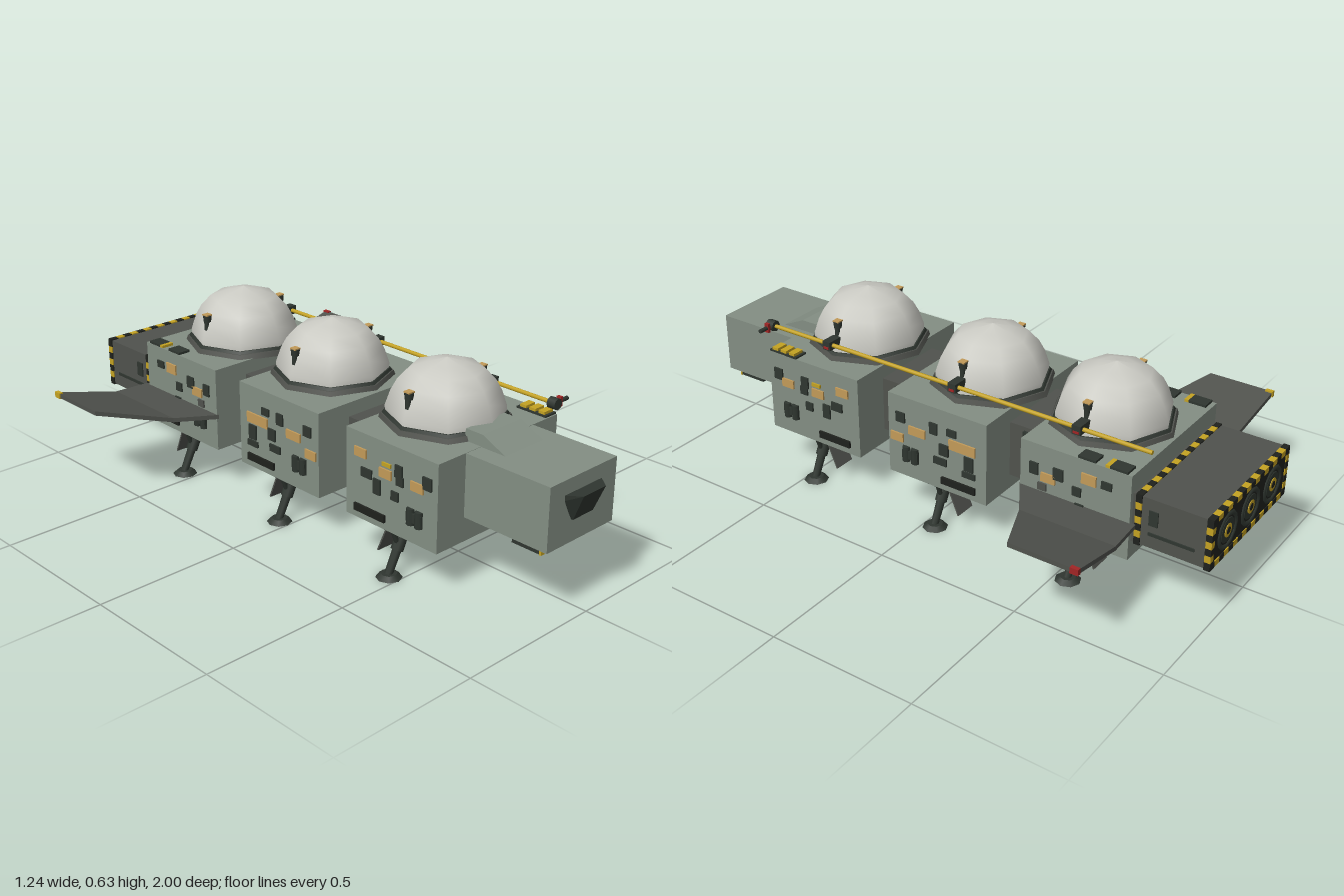
import * as THREE from 'three';
import { ConvexGeometry } from 'three/addons/geometries/ConvexGeometry.js';

const mat = (name, color) => Object.assign(new THREE.MeshStandardMaterial({ color }), { name });
const M = {
  hull: mat('hull grey green', 0x838e83),
  grey: mat('dark grey', 0x50524d),
  dark: mat('dark green', 0x2f3630),
  black: mat('near black', 0x1f211d),
  dome: mat('dome white', 0xcacac3),
  yellow: mat('hazard yellow', 0xc4a222),
  tan: mat('panel tan', 0xc29a58),
  red: mat('marker red', 0xa02525),
};

export function createModel() {
  const root = new THREE.Group();
  root.name = 'spacecraft';

  const add = (parent, name, geo, material, x = 0, y = 0, z = 0) => {
    const m = new THREE.Mesh(geo, material);
    m.name = name;
    m.position.set(x, y, z);
    parent.add(m);
    return m;
  };
  // box from min and max corners
  const box = (p, name, material, x0, x1, y0, y1, z0, z1) =>
    add(p, name, new THREE.BoxGeometry(x1 - x0, y1 - y0, z1 - z0), material,
      (x0 + x1) / 2, (y0 + y1) / 2, (z0 + z1) / 2);
  const hull = (p, name, material, pts) =>
    add(p, name, new ConvexGeometry(pts.map(a => new THREE.Vector3(...a))), material);
  // cylinder between two points
  const rod = (p, name, material, a, b, r, r2 = r, sides = 8) => {
    const va = new THREE.Vector3(...a), vb = new THREE.Vector3(...b);
    const d = vb.clone().sub(va);
    const m = add(p, name, new THREE.CylinderGeometry(r2, r, d.length(), sides), material);
    m.position.copy(va).add(vb).multiplyScalar(0.5);
    m.quaternion.setFromUnitVectors(new THREE.Vector3(0, 1, 0), d.normalize());
    return m;
  };
  const group = (name, z = 0) => {
    const g = new THREE.Group();
    g.name = name;
    g.position.z = z;
    root.add(g);
    return g;
  };

  // side panels of each module: [z, y, width, height, material]
  const panels = [
    [[0.11, 0.335, 0.05, 0.03, 'tan'], [-0.02, 0.335, 0.05, 0.03, 'tan'], [-0.125, 0.37, 0.05, 0.03, 'tan'],
      [0.15, 0.36, 0.035, 0.04, 'dark'], [0.035, 0.36, 0.03, 0.04, 'dark'], [0.04, 0.33, 0.03, 0.03, 'dark'],
      [-0.055, 0.28, 0.03, 0.05, 'dark'], [-0.1, 0.31, 0.045, 0.03, 'dark'], [0.02, 0.275, 0.03, 0.03, 'dark'],
      [-0.015, 0.365, 0.035, 0.012, 'yellow']],
    [[0.075, 0.325, 0.065, 0.03, 'tan'], [0.155, 0.285, 0.05, 0.03, 'tan'], [-0.1, 0.325, 0.1, 0.035, 'tan'],
      [0.14, 0.36, 0.035, 0.035, 'dark'], [0.01, 0.36, 0.03, 0.04, 'dark'], [-0.03, 0.295, 0.035, 0.04, 'dark'],
      [-0.015, 0.25, 0.05, 0.025, 'dark'], [-0.125, 0.275, 0.035, 0.05, 'dark'], [-0.06, 0.365, 0.035, 0.025, 'dark'],
      [-0.125, 0.235, 0.05, 0.02, 'dark']],
    [[-0.05, 0.375, 0.05, 0.035, 'tan'], [0.09, 0.33, 0.05, 0.03, 'tan'], [0.14, 0.35, 0.03, 0.04, 'dark'],
      [0.055, 0.355, 0.035, 0.04, 'dark'], [0.11, 0.295, 0.03, 0.025, 'grey'], [-0.01, 0.32, 0.03, 0.03, 'dark'],
      [-0.11, 0.375, 0.035, 0.025, 'dark'], [-0.02, 0.26, 0.03, 0.04, 'dark']],
  ];

  const domePts = [[0.184, 0.44], [0.186, 0.475], [0.169, 0.525], [0.15, 0.56], [0.115, 0.598], [0.06, 0.617], [0, 0.632]]
    .map(a => new THREE.Vector2(...a));

  [0.46, -0.045, -0.55].forEach((z, i) => {
    const g = group(['frontModule', 'middleModule', 'rearModule'][i], z);
    box(g, 'moduleHull', M.hull, -0.265, 0.265, 0.147, 0.435, -0.19, 0.19);

    // dome with its octagonal collar
    const dz = i === 2 ? 0.025 : -0.03;
    add(g, 'domeCollar', new THREE.CylinderGeometry(0.2, 0.207, 0.018, 8).toNonIndexed(), M.grey, 0, 0.441, dz);
    add(g, 'domeCollarRim', new THREE.CylinderGeometry(0.19, 0.196, 0.01, 8), M.dark, 0, 0.454, dz);
    add(g, 'dome', new THREE.LatheGeometry(domePts, 8), M.dome, 0, 0, dz);

    for (const s of [1, -1]) {
      // lamps on the dome
      rod(g, 'lampPost', M.dark, [s * 0.165, 0.48, dz], [s * 0.165, 0.545, dz], 0.009);
      rod(g, 'lampHead', M.dark, [s * 0.162, 0.54, dz], [s * 0.162, 0.562, dz], 0.013, 0.015);
      box(g, 'lampLens', M.tan, s * 0.162 - 0.012, s * 0.162 + 0.012, 0.561, 0.566, dz - 0.012, dz + 0.012);

      // side details
      for (const [pz, y, w, h, m] of panels[i])
        add(g, 'sidePanel', new THREE.BoxGeometry(0.008, h, w), M[m], s * 0.267, y, pz);
      for (const k of [-1, 1])
        rod(g, 'sideTank', M.dark, [s * 0.266, 0.207, 0.102 + k * 0.017], [s * 0.266, 0.26, 0.102 + k * 0.017], 0.014);
      add(g, 'tankBand', new THREE.BoxGeometry(0.02, 0.03, 0.06), M.dark, s * 0.264, 0.233, 0.102);
      add(g, 'sideVent', new THREE.BoxGeometry(0.014, 0.024, 0.13), M.black, s * 0.266, 0.184, -0.085);

      // landing leg, foot and gear door
      rod(g, 'landingLeg', M.dark, [s * 0.205, 0.15, 0.005], [s * 0.275, 0.01, 0.005], 0.016, 0.013);
      rod(g, 'legSleeve', M.dark, [s * 0.2, 0.16, 0.005], [s * 0.24, 0.08, 0.005], 0.02);
      rod(g, 'legStrut', M.dark, [s * 0.255, 0.147, 0.005], [s * 0.232, 0.085, 0.005], 0.008);
      box(g, 'legMount', M.dark, s * 0.21 - 0.04, s * 0.21 + 0.04, 0.135, 0.149, -0.04, 0.05);
      add(g, 'foot', new THREE.CylinderGeometry(0.026, 0.042, 0.014, 8), M.dark, s * 0.272, 0.007, 0.005);
      const door = add(g, 'gearDoor', new THREE.BoxGeometry(0.076, 0.1, 0.005), M.grey, s * 0.21, 0.1, -0.05);
      door.rotation.x = 0.4;
    }
    // clamp holding the long mast
    box(g, 'mastClamp', M.dark, 0.17, 0.225, 0.482, 0.512, dz - 0.015, dz + 0.015);
    box(g, 'clampMarker', M.red, 0.205, 0.227, 0.486, 0.494, dz - 0.01, dz + 0.01);
  });

  // connecting tunnels
  for (const z of [0.2075, -0.2975]) {
    const g = group('connector', z);
    box(g, 'tunnel', M.grey, -0.135, 0.135, 0.197, 0.388, -0.066, 0.066);
    for (const s of [1, -1]) for (const y of [0.225, 0.36])
      add(g, 'tunnelLatch', new THREE.BoxGeometry(0.014, 0.03, 0.02), M.dark, s * 0.137, y, 0);
  }

  // cockpit
  const cockpit = group('cockpit');
  box(cockpit, 'cockpitHull', M.hull, -0.15, 0.15, 0.228, 0.434, 0.64, 0.96);
  const ramp = [];
  for (const s of [1, -1])
    ramp.push([s * 0.085, 0.43, 0.58], [s * 0.085, 0.474, 0.59], [s * 0.085, 0.474, 0.655], [s * 0.085, 0.43, 0.75]);
  hull(cockpit, 'roofFairing', M.hull, ramp);
  const win = [];
  for (const s of [1, -1])
    win.push([s * 0.087, 0.387, 0.955], [s * 0.087, 0.368, 0.955], [s * 0.05, 0.3, 0.955], [s * 0.05, 0.387, 1], [s * 0.045, 0.3, 0.965]);
  hull(cockpit, 'cockpitWindow', M.dark, win);
  for (let i = 0; i < 6; i++) {
    const x = -0.125 + i * 0.05;
    box(cockpit, 'chinGun', M.dark, x - 0.008, x + 0.008, 0.205, 0.217, 0.82, 0.92);
    box(cockpit, 'chinGunMount', M.dark, x - 0.005, x + 0.005, 0.215, 0.23, 0.85, 0.89);
    box(cockpit, 'chinGunTip', M.yellow, x - 0.008, x + 0.008, 0.203, 0.217, 0.92, 0.928);
  }

  // roof equipment
  const roof = group('roofEquipment');
  box(roof, 'roofTray', M.dark, 0.215, 0.265, 0.434, 0.441, 0.53, 0.645);
  for (const z of [0.552, 0.588, 0.624])
    box(roof, 'roofCanister', M.yellow, 0.22, 0.262, 0.44, 0.45, z - 0.012, z + 0.012);
  for (const s of [1, -1]) {
    for (const z of [-0.695, -0.588])
      add(roof, 'roofVent', new THREE.BoxGeometry(0.045, 0.01, 0.06), M.dark, s * 0.241, 0.438, z);
    add(roof, 'roofStripe', new THREE.BoxGeometry(0.045, 0.009, 0.014), M.yellow, s * 0.241, 0.439, -0.658);
  }

  // long mast with sensor head
  const mast = group('mast');
  rod(mast, 'mastRod', M.yellow, [0.208, 0.497, -0.77], [0.208, 0.497, 0.68], 0.007);
  rod(mast, 'mastHead', M.dark, [0.208, 0.497, 0.665], [0.208, 0.497, 0.695], 0.019);
  rod(mast, 'sensorArm', M.dark, [0.208, 0.497, 0.68], [0.27, 0.497, 0.68], 0.007);
  box(mast, 'sensorMarker', M.red, 0.228, 0.238, 0.481, 0.513, 0.672, 0.688);

  // wings: flat inner panel, raised outer panel, marker at the tip
  for (const s of [1, -1]) {
    const g = group(s > 0 ? 'leftWing' : 'rightWing');
    const section = ([x, y, zf, zb]) =>
      [[s * x, y, zf], [s * x, y, zb], [s * x, y - 0.015, zf], [s * x, y - 0.015, zb]];
    const a = section([0.26, 0.276, -0.355, -0.757]);
    const b = section([0.388, 0.276, -0.438, -0.766]);
    const c = section([0.618, 0.333, -0.55, -0.779]);
    hull(g, 'innerWing', M.grey, [...a, ...b]);
    hull(g, 'outerWing', M.grey, [...b, ...c]);
    box(g, 'wingTipLight', s > 0 ? M.red : M.yellow, s * 0.615 - 0.007, s * 0.615 + 0.007, 0.316, 0.336, -0.782, -0.755);
  }

  // engine block
  const eng = group('engineBlock');
  box(eng, 'engineHousing', M.grey, -0.25, 0.25, 0.207, 0.373, -0.992, -0.73);
  box(eng, 'enginePlate', M.black, -0.235, 0.235, 0.222, 0.358, -0.995, -0.99);
  // dashes of alternating colour along one axis
  const hazard = (n, from, to, place) => {
    const step = (to - from) / n;
    for (let i = 0; i < n; i++) place(i % 2 ? M.yellow : M.black, from + i * step, from + (i + 1) * step);
  };
  for (const z of [-0.76, -0.988]) {
    for (const y of [0.207, 0.373])
      hazard(17, -0.253, 0.253, (m, p, q) => box(eng, 'hazardStripe', m, p, q, y - 0.004, y + 0.004, z - 0.01, z + 0.01));
    for (const x of [-0.25, 0.25])
      hazard(7, 0.207, 0.373, (m, p, q) => box(eng, 'hazardStripe', m, x - 0.004, x + 0.004, p, q, z - 0.01, z + 0.01));
  }
  for (const y of [0.215, 0.365])
    hazard(17, -0.253, 0.253, (m, p, q) => box(eng, 'hazardStripe', m, p, q, y - 0.008, y + 0.008, -0.998, -0.991));
  for (const x of [-0.243, 0.243])
    hazard(7, 0.207, 0.373, (m, p, q) => box(eng, 'hazardStripe', m, x - 0.008, x + 0.008, p, q, -0.998, -0.991));
  for (const s of [1, -1]) {
    add(eng, 'housingSlot', new THREE.BoxGeometry(0.006, 0.01, 0.15), M.dark, s * 0.251, 0.255, -0.87);
    add(eng, 'housingHatch', new THREE.BoxGeometry(0.006, 0.05, 0.03), M.dark, s * 0.251, 0.31, -0.81);
  }
  for (const x of [-0.15, 0, 0.15]) {
    add(eng, 'nozzleRing', new THREE.TorusGeometry(0.055, 0.012, 6, 12), M.dark, x, 0.29, -0.988);
    rod(eng, 'nozzleDisc', M.dark, [x, 0.29, -0.99], [x, 0.29, -0.997], 0.048, 0.04, 12);
    rod(eng, 'nozzleCore', M.yellow, [x, 0.29, -0.99], [x, 0.29, -0.999], 0.022, 0.022, 12);
    rod(eng, 'nozzleCap', M.black, [x, 0.29, -0.99], [x, 0.29, -1], 0.012, 0.012, 12);
  }
  return root;
}
